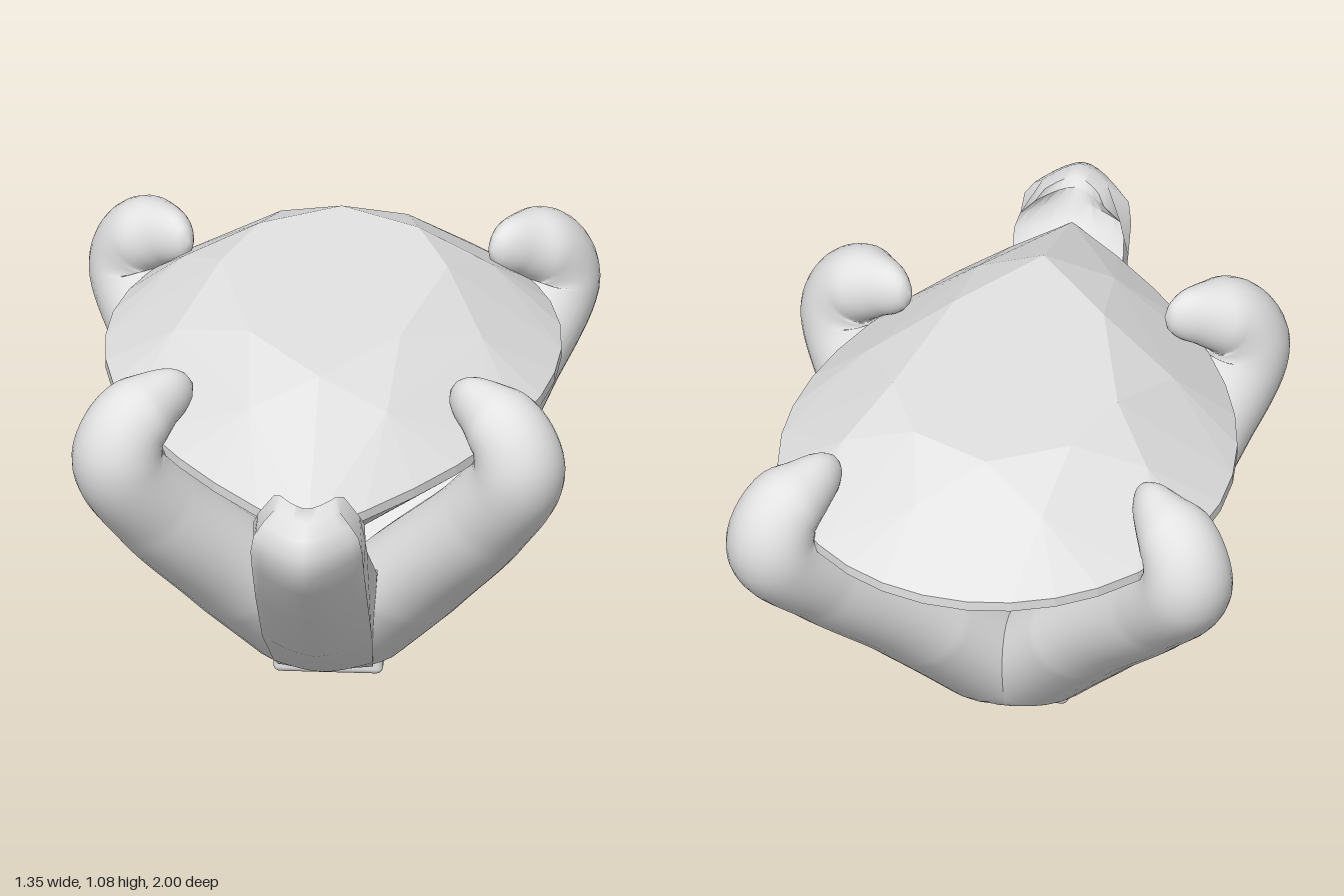
import * as THREE from 'three';
import { mergeVertices, toCreasedNormals } from 'three/addons/utils/BufferGeometryUtils.js';
import { RoundedBoxGeometry } from 'three/addons/geometries/RoundedBoxGeometry.js';
import { ConvexGeometry } from 'three/addons/geometries/ConvexGeometry.js';

const V = (x, y, z) => new THREE.Vector3(x, y, z);

// Pear outline: index 0 is the point, 8 the widest place, 16 the round end
function outline(i, y) {
  const side = i > 16 ? -1 : 1;
  const k = i > 16 ? 32 - i : i;
  if (k <= 8) {
    const t = 1 - k / 8;
    return V(side * 0.603 * (1 - t * t), y, -0.3 + 1.1 * t);
  }
  const a = (k - 8) / 8 * Math.PI / 2;
  return V(side * 0.603 * Math.cos(a), y, -0.3 - 0.7 * Math.sin(a));
}

// Brilliant-cut stone: table, crown break points, girdle, pavilion, culet
function gemGeometry() {
  const half = [[0, 0.32], [0.2, 0.07], [0.3, -0.33], [0.21, -0.55], [0, -0.66]];
  const table = [];
  for (let k = 0; k < 8; k++) {
    const [x, z] = half[k > 4 ? 8 - k : k];
    table.push(V(k > 4 ? -x : x, 1.08, z));
  }
  const culet = V(0, 0.37, -0.18);
  const points = [...table, culet];
  for (let i = 0; i < 32; i++) points.push(outline(i, 0.862), outline(i, 0.835));
  for (let k = 0; k < 8; k++) {
    const crown = table[k].clone().add(table[(k + 1) % 8]).multiplyScalar(0.5);
    crown.lerp(outline(k * 4 + 2, 0.86), 0.5).setY(1.0);
    const pavilion = outline(k * 4 + 2, 0.835).lerp(culet, 0.65);
    pavilion.y -= 0.03;
    points.push(crown, pavilion);
  }
  return new ConvexGeometry(points);
}

// Prong section along its length: [position, radius, sideways stretch]
const SECTIONS = [
  [0, 0.14, 1.4], [0.3, 0.142, 1.3], [0.62, 0.128, 1.03], [0.78, 0.122, 1],
  [0.88, 0.1, 1.05], [1, 0.055, 0.6],
];
function prongSection(u) {
  let k = 0;
  while (k < SECTIONS.length - 2 && u > SECTIONS[k + 1][0]) k++;
  const [u0, r0, f0] = SECTIONS[k], [u1, r1, f1] = SECTIONS[k + 1];
  const t = (u - u0) / (u1 - u0);
  const tip = Math.max(0, (u - 0.95) / 0.05);
  const r = u === 0 ? 0 : (r0 + (r1 - r0) * t) * Math.sqrt(Math.max(0, 1 - tip * tip));
  return [r, f0 + (f1 - f0) * t];
}

// Tapered hooked tube with a flat foot
function prongGeometry(points) {
  const rings = 80, sides = 28;
  const curve = new THREE.CatmullRomCurve3(points, false, 'centripetal');
  const geo = new THREE.TubeGeometry(curve, rings, 1, sides);
  const pos = geo.attributes.position;
  const lean = points[3].clone().sub(points[0]);
  const sideways = V(-lean.z, 0, lean.x).normalize();
  const p = V(0, 0, 0);
  for (let i = 0; i <= rings; i++) {
    const c = curve.getPointAt(i / rings);
    const [r, stretch] = prongSection(i / rings);
    for (let j = 0; j <= sides; j++) {
      const n = i * (sides + 1) + j;
      p.fromBufferAttribute(pos, n).sub(c).multiplyScalar(r);
      p.addScaledVector(sideways, p.dot(sideways) * (stretch - 1)).add(c);
      pos.setXYZ(n, p.x, Math.max(0.077, p.y), p.z);
    }
  }
  geo.deleteAttribute('uv');
  geo.deleteAttribute('normal');
  const welded = mergeVertices(geo, 1e-5);
  welded.computeVertexNormals();
  return welded;
}

// Wide front prong: profile at its middle ridge and at its sides
// [middle z, middle y, side z, side y]
const FRONT = [
  [0.06, 0.077, 0.04, 0.077], [0.2, 0.14, 0.15, 0.145], [0.47, 0.325, 0.4, 0.345],
  [0.75, 0.565, 0.65, 0.59], [0.93, 0.745, 0.81, 0.765], [0.985, 0.82, 0.86, 0.835],
  [1.0, 0.88, 0.875, 0.89], [0.985, 0.93, 0.87, 0.93], [0.93, 0.962, 0.85, 0.955],
  [0.86, 0.967, 0.79, 0.967], [0.835, 0.95, 0.755, 0.95], [0.83, 0.91, 0.765, 0.9],
  [0.79, 0.86, 0.745, 0.865], [0.72, 0.79, 0.72, 0.795], [0.66, 0.74, 0.66, 0.74],
  [0.25, 0.465, 0.25, 0.465], [-0.08, 0.34, -0.08, 0.34], [-0.13, 0.077, -0.13, 0.077],
];
function frontProngGeometry() {
  const lanes = [-1, -0.85, -0.6, -0.4, -0.2, 0, 0.2, 0.4, 0.6, 0.85, 1];
  const n = FRONT.length;
  const verts = [], index = [];
  for (const s of lanes) {
    const b = Math.pow(Math.abs(s), 1.6);
    for (const [mz, my, sz, sy] of FRONT) {
      const y = my + (sy - my) * b;
      const top = Math.max(0, (y - 0.85) / 0.12);
      const w = 0.125 + 0.023 * Math.min(1, (y - 0.077) / 0.3) - 0.08 * top * top;
      verts.push(s * w, y, mz + (sz - mz) * b);
    }
  }
  for (let i = 0; i < lanes.length - 1; i++) {
    for (let j = 0; j < n; j++) {
      const k = (j + 1) % n;
      const a = i * n + j, b = a + n, c = (i + 1) * n + k, d = i * n + k;
      index.push(a, b, c, a, c, d);
    }
  }
  const last = (lanes.length - 1) * n;
  const side = FRONT.map((f) => new THREE.Vector2(f[2], f[3]));
  for (const [a, b, c] of THREE.ShapeUtils.triangulateShape(side, [])) {
    index.push(a, b, c, last + a, last + c, last + b);
  }
  const geo = new THREE.BufferGeometry();
  geo.setAttribute('position', new THREE.Float32BufferAttribute(verts, 3));
  geo.setIndex(index);
  return toCreasedNormals(geo, 0.9);
}

export function createModel() {
  const model = new THREE.Group();
  const grey = new THREE.MeshStandardMaterial({ color: 0xe3e3e3 });
  grey.name = 'pale grey';
  const add = (name, geometry) => {
    const mesh = new THREE.Mesh(geometry, grey);
    mesh.name = name;
    model.add(mesh);
    return mesh;
  };

  add('pearStone', gemGeometry());
  add('frontProng', frontProngGeometry());

  // Mirrored pairs of hooked prongs
  for (const s of [1, -1]) {
    const label = s > 0 ? 'left' : 'right';
    add(label + 'FrontProng', prongGeometry([
      V(0, 0.07, -0.13), V(s * 0.265, 0.405, 0.077), V(s * 0.435, 0.64, 0.245),
      V(s * 0.53, 0.83, 0.345), V(s * 0.505, 0.925, 0.33),
      V(s * 0.44, 0.967, 0.28), V(s * 0.34, 0.993, 0.21),
    ]));
    add(label + 'BackProng', prongGeometry([
      V(0, 0.07, -0.13), V(s * 0.26, 0.405, -0.38), V(s * 0.44, 0.64, -0.61),
      V(s * 0.555, 0.83, -0.77), V(s * 0.535, 0.925, -0.75),
      V(s * 0.475, 0.967, -0.69), V(s * 0.4, 0.993, -0.595),
    ]));
  }

  // Small foot under the setting
  add('foot', new RoundedBoxGeometry(0.29, 0.12, 0.14, 3, 0.018)).position.set(0, 0.06, -0.125);
  return model;
}
